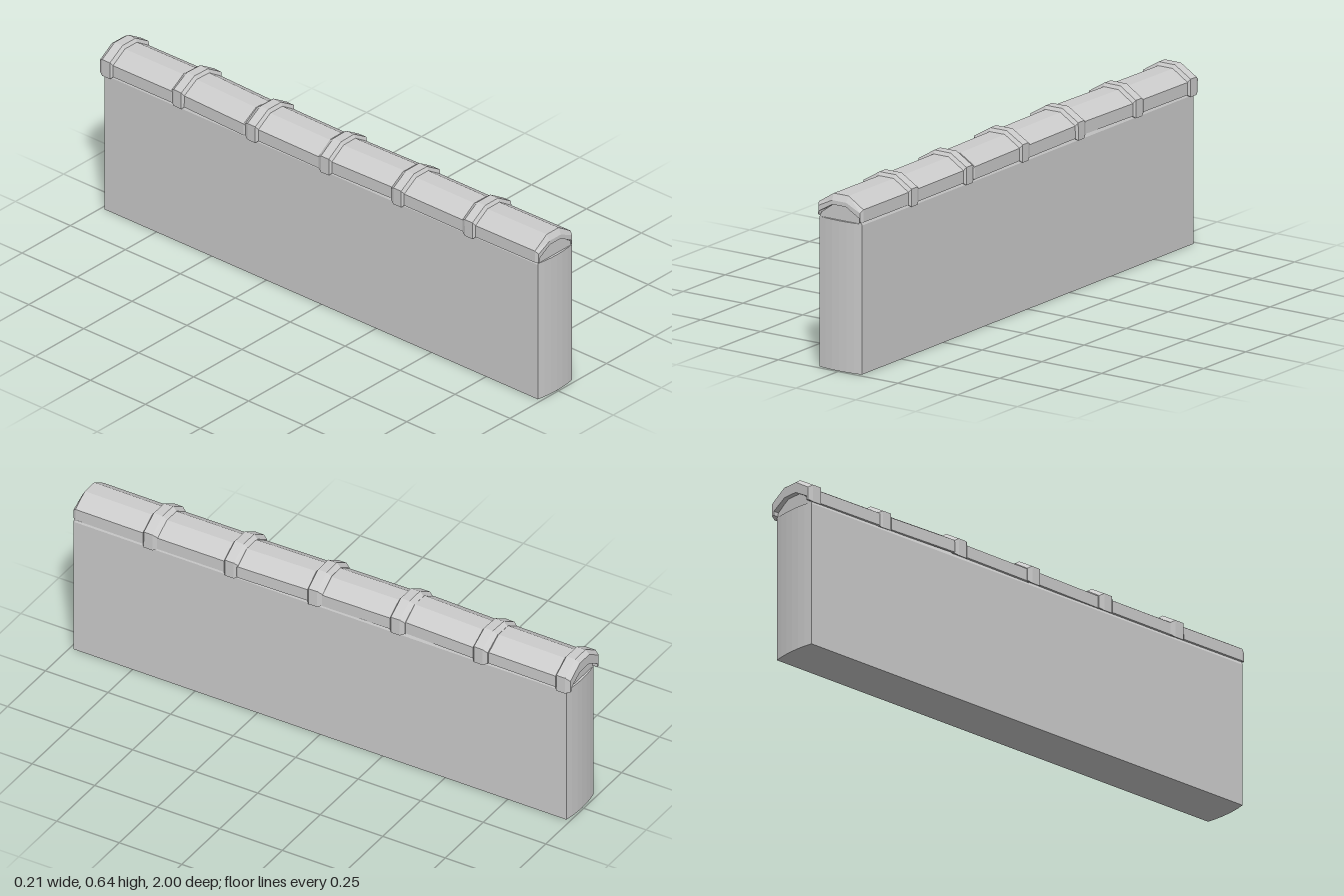
import * as THREE from 'three';

const grey = new THREE.MeshStandardMaterial({ color: 0xcccccc, flatShading: true });

// Joins equal closed rings of [x, y, z] points into a faceted surface
function loft(rings, caps) {
  const pos = [];
  const quad = (a, b, c, d) => pos.push(...a, ...b, ...c, ...a, ...c, ...d);
  const n = rings[0].length;
  for (let r = 0; r < rings.length - 1; r++) {
    for (let i = 0; i < n; i++) {
      const j = (i + 1) % n;
      quad(rings[r][i], rings[r + 1][i], rings[r + 1][j], rings[r][j]);
    }
  }
  caps(rings[0], rings[rings.length - 1], quad);
  const geo = new THREE.BufferGeometry();
  geo.setAttribute('position', new THREE.Float32BufferAttribute(pos, 3));
  geo.computeVertexNormals();
  return geo;
}

// Arched cross-section, right side to left side over the top
const arch = (w, low, eave, flat, top) => [
  [w, low], [w, eave], [flat, top], [-flat, top], [-w, eave], [-w, low],
];
const inner = arch(0.084, 0.54, 0.555, 0.028, 0.587);
const lip = arch(0.087, 0.543, 0.574, 0.029, 0.602);
const body = arch(0.093, 0.54, 0.585, 0.031, 0.624);
const collar = arch(0.1, 0.532, 0.596, 0.034, 0.636);

// One ridge tile: lipped front, plain body, raised collar at the back
function tileGeometry(length) {
  const sections = [
    [0, lip], [-0.012, body], [0.06 - length, body], [0.052 - length, collar],
    [0.017 - length, collar], [0, body, true],
  ];
  const rings = sections.map(([z, outer, end]) => {
    const at = end ? -length : z;
    return [...outer, ...[...inner].reverse()].map(([x, y]) => [x, y, at]);
  });
  return loft(rings, (front, back, quad) => {
    for (let i = 0; i < 5; i++) {
      quad(front[i], front[i + 1], front[10 - i], front[11 - i]);
      quad(back[11 - i], back[10 - i], back[i + 1], back[i]);
    }
  });
}

// Wall slab with an arched top and gently bowed ends
function wallGeometry() {
  const plan = new THREE.Shape([
    [-0.089, 0], [0.089, 0], [0.089, 0.53], [0.08, 0.552], [0.03, 0.588],
    [0, 0.588], [-0.03, 0.588], [-0.08, 0.552], [-0.089, 0.53], [-0.089, 0],
  ].slice(0, 9).map(([x, y]) => new THREE.Vector2(x, y)));
  const geo = new THREE.ExtrudeGeometry(plan, { depth: 1.97, bevelEnabled: false });
  geo.translate(0, 0, -0.985);
  return geo;
}

// Shallow bowed panel that closes each end of the wall
function endGeometry() {
  const outline = [];
  for (let i = 0; i <= 6; i++) {
    const x = -0.089 + (0.178 * i) / 6;
    outline.push(new THREE.Vector2(x, 0.009 * (1 - (x / 0.089) ** 2)));
  }
  const geo = new THREE.ExtrudeGeometry(new THREE.Shape(outline.reverse()), {
    depth: 0.535, bevelEnabled: false,
  });
  // Stand the plan up: its depth becomes height and its bow faces +z
  geo.rotateX(-Math.PI / 2);
  geo.scale(1, 1, 1);
  geo.rotateY(Math.PI);
  return geo;
}

export function createModel() {
  const group = new THREE.Group();
  const add = (geo, name) => {
    const mesh = new THREE.Mesh(geo, grey);
    mesh.name = name;
    group.add(mesh);
    return mesh;
  };

  add(wallGeometry(), 'wall');
  for (const side of [1, -1]) {
    const end = add(endGeometry(), side > 0 ? 'frontWallEnd' : 'backWallEnd');
    end.position.z = side * 0.985;
    end.rotation.y = side > 0 ? 0 : Math.PI;
  }

  // Ridge tiles: front z, back z, x at the front and back, lift at the front and back
  const tiles = [
    [0.993, 0.652, -0.003, -0.004, 0, -0.002],
    [0.665, 0.322, -0.003, -0.003, -0.002, -0.001],
    [0.338, -0.008, 0.004, -0.004, 0, 0],
    [0.005, -0.345, -0.003, -0.003, -0.002, 0.001],
    [-0.33, -0.68, -0.008, 0.004, 0.001, 0.002],
    [-0.662, -1, -0.001, 0, 0.001, -0.001],
  ];
  tiles.forEach(([z0, z1, x0, x1, y0, y1], i) => {
    const length = z0 - z1;
    const tile = add(tileGeometry(length), `ridgeTile${i + 1}`);
    tile.position.set(x0, y0, z0);
    tile.rotation.set((y1 - y0) / length, (x0 - x1) / length, 0);
  });
  return group;
}
